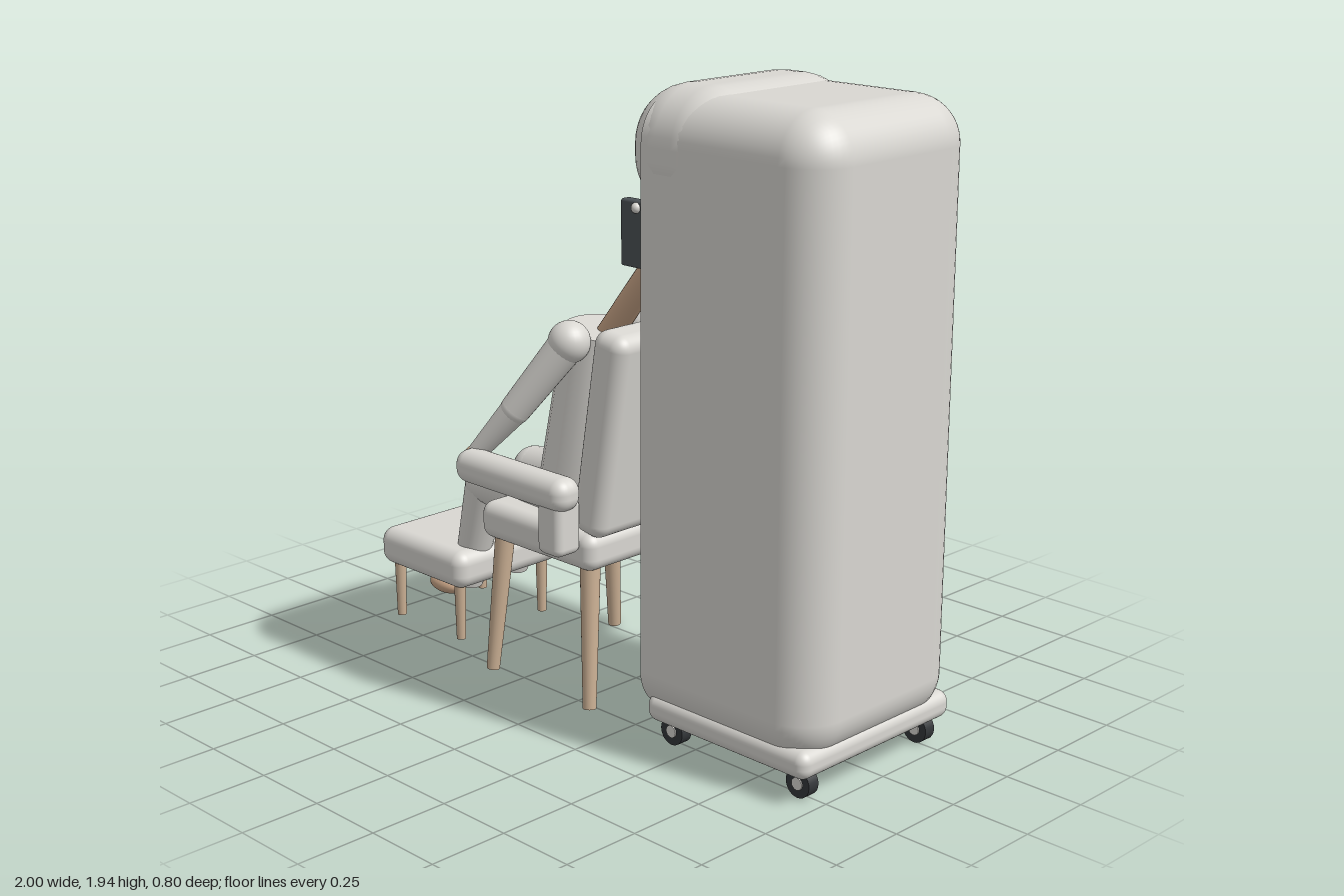
import * as THREE from 'three';
import { RoundedBoxGeometry } from 'three/addons/geometries/RoundedBoxGeometry.js';

const mat = (name, color, side = THREE.FrontSide) => {
  const m = new THREE.MeshStandardMaterial({ color, side });
  m.name = name;
  return m;
};

export function createModel() {
  const model = new THREE.Group();
  const white = mat('offWhite', 0xd9d7d2, THREE.DoubleSide);
  const wood = mat('wood', 0xcbb094);
  const skin = mat('skin', 0xc9a587);
  const brown = mat('hairBrown', 0x74513f, THREE.DoubleSide);
  const dark = mat('darkGrey', 0x4c5256, THREE.DoubleSide);
  const black = mat('wheelDark', 0x34373a);
  const blue = mat('bottleBlue', 0x5b9ccb);
  const V = (x, y, z) => new THREE.Vector3(x, y, z);

  const add = (name, geo, material, x = 0, y = 0, z = 0, parent = model) => {
    const m = new THREE.Mesh(geo, material);
    m.name = name;
    m.position.set(x, y, z);
    parent.add(m);
    return m;
  };
  // rounded box given by its extents
  const block = (name, x0, x1, y0, y1, z0, z1, r, material = white) =>
    add(name, new RoundedBoxGeometry(x1 - x0, y1 - y0, z1 - z0, 5, r), material,
      (x0 + x1) / 2, (y0 + y1) / 2, (z0 + z1) / 2);
  // tapered round bar from a to b
  const limb = (name, a, b, ra, rb, material) => {
    const m = add(name, new THREE.CylinderGeometry(rb, ra, a.distanceTo(b), 24), material);
    m.position.copy(a).lerp(b, 0.5);
    m.quaternion.setFromUnitVectors(V(0, 1, 0), b.clone().sub(a).normalize());
    return m;
  };
  const ball = (name, x, y, z, rx, material, ry = rx, rz = rx) => {
    const m = add(name, new THREE.SphereGeometry(1, 28, 18), material, x, y, z);
    m.scale.set(rx, ry, rz);
    return m;
  };

  // Cabinet shell: rounded box with the side towards the chair cut open
  const open = new RoundedBoxGeometry(0.78, 1.83, 0.68, 6, 0.14).translate(0.61, 1.005, 0);
  const p = open.attributes.position, n = open.attributes.normal;
  const keepP = [], keepN = [];
  for (let i = 0; i < p.count; i += 3) {
    if ((p.getX(i) + p.getX(i + 1) + p.getX(i + 2)) / 3 < 0.361) continue;
    for (let k = i; k < i + 3; k++) {
      keepP.push(p.getX(k), p.getY(k), p.getZ(k));
      keepN.push(n.getX(k), n.getY(k), n.getZ(k));
    }
  }
  const shell = new THREE.BufferGeometry();
  shell.setAttribute('position', new THREE.Float32BufferAttribute(keepP, 3));
  shell.setAttribute('normal', new THREE.Float32BufferAttribute(keepN, 3));
  add('cabinetShell', shell, white);
  block('cabinetHood', 0.245, 0.64, 1.57, 1.94, -0.343, 0.343, 0.165);
  block('cabinetBase', 0.365, 0.985, 0.075, 0.16, -0.33, 0.33, 0.035);

  // Dark lining and opening frame
  const panel = (name, w, h, d, x, y, z) => add(name, new THREE.BoxGeometry(w, h, d), dark, x, y, z);
  panel('liningBack', 0.01, 1.5, 0.62, 0.87, 0.96, 0);
  panel('liningFloor', 0.51, 0.01, 0.62, 0.62, 0.22, 0);
  panel('liningCeiling', 0.51, 0.01, 0.62, 0.62, 1.7, 0);
  for (const s of [-1, 1]) panel('liningSide', 0.51, 1.5, 0.01, 0.62, 0.96, s * 0.315);
  const rect = (P, z, y0, y1) => {
    const q = new P();
    q.moveTo(-z, y0).lineTo(z, y0).lineTo(z, y1).lineTo(-z, y1).closePath();
    return q;
  };
  const frame = rect(THREE.Shape, 0.328, 0.21, 1.72);
  frame.holes.push(rect(THREE.Path, 0.3, 0.24, 1.69));
  const frameMesh = add('openingFrame',
    new THREE.ExtrudeGeometry(frame, { depth: 0.018, bevelEnabled: false }), dark, 0.353, 0, 0);
  frameMesh.rotation.y = Math.PI / 2;

  // Casters
  for (const x of [0.43, 0.92]) for (const z of [-0.26, 0.26]) {
    const wheel = add('caster', new THREE.CylinderGeometry(0.043, 0.043, 0.04, 24), black, x, 0.043, z);
    wheel.rotation.x = Math.PI / 2;
    const hub = add('casterHub', new THREE.CylinderGeometry(0.019, 0.019, 0.048, 16), white, x, 0.043, z);
    hub.rotation.x = Math.PI / 2;
  }

  // Basin with drain
  const bowl = [[0.001, 0.78], [0.08, 0.785], [0.175, 0.875], [0.185, 0.89], [0.165, 0.885], [0.08, 0.81], [0.001, 0.8]];
  add('basin', new THREE.LatheGeometry(bowl.map(([r, y]) => new THREE.Vector2(r, y)), 32), white, 0.475, 0, 0);
  limb('drainPipe', V(0.48, 0.79, 0), V(0.48, 0.52, -0.2), 0.025, 0.025, dark);
  limb('basinBracket', V(0.48, 0.77, 0), V(0.86, 0.6, 0), 0.02, 0.02, dark);

  // Bottles on the cabinet floor
  [[-0.15, 0.17, blue], [-0.03, 0.24, dark], [0.1, 0.25, blue], [0.21, 0.2, dark]].forEach(([z, h, m]) => {
    add('bottle', new THREE.CylinderGeometry(0.04, 0.04, h, 20), m, 0.45, 0.225 + h / 2, z);
    add('bottleShoulder', new THREE.CylinderGeometry(0.016, 0.04, 0.03, 20), m, 0.45, 0.24 + h, z);
    add('bottleCap', new THREE.CylinderGeometry(0.016, 0.016, 0.035, 16), white, 0.45, 0.27 + h, z);
  });

  // Head equipment: side plates, ear pads, cradle rings, water hose
  for (const s of [-1, 1]) {
    block('sidePlate', 0.185, 0.36, 1.4, 1.595, s * 0.23 - 0.018, s * 0.23 + 0.018, 0.008, dark);
    ball('plateKnob', 0.25, 1.575, s * 0.247, 0.016, white);
    ball('earPad', 0.245, 1.5, s * 0.155, 0.075, white, 0.09, 0.055);
    limb('waterHose', V(0.295, 1.42, s * 0.13), V(0.325, 1.27, s * 0.1), 0.006, 0.006, blue);
  }
  for (const [r, z] of [[0.09, -0.065], [0.105, 0], [0.09, 0.065]]) {
    const ring = add('cradleRing', new THREE.TorusGeometry(r, 0.011, 10, 32, Math.PI * 1.25), white, 0.25, 1.305, z);
    ring.rotation.z = Math.PI * 0.8;
  }

  // Armchair
  block('seat', -0.41, 0.095, 0.44, 0.56, -0.29, 0.29, 0.04);
  block('backrest', 0.045, 0.175, 0.55, 1.2, -0.285, 0.285, 0.045).rotation.z = -0.165;
  for (const s of [-1, 1]) {
    const z = s * 0.345;
    block('armrest', -0.41, 0.08, 0.645, 0.75, z - 0.053, z + 0.053, 0.045);
    block('armSupport', -0.04, 0.06, 0.505, 0.68, s * 0.335 - 0.05, s * 0.335 + 0.05, 0.025);
    limb('chairLeg', V(-0.375, 0, s * 0.27), V(-0.35, 0.46, s * 0.23), 0.021, 0.032, wood);
    limb('chairLeg', V(0.07, 0, s * 0.27), V(0.035, 0.46, s * 0.23), 0.021, 0.032, wood);
  }

  // Footstool
  block('footstool', -1, -0.58, 0.185, 0.312, -0.23, 0.23, 0.045);
  for (const x of [-0.945, -0.637]) for (const s of [-1, 1])
    limb('stoolLeg', V(x, 0, s * 0.18), V(x, 0.2, s * 0.18), 0.015, 0.02, wood);

  // Seated figure: body, neck, head
  limb('torso', V(-0.178, 0.62, 0), V(-0.125, 1.115, 0), 0.178, 0.135, white);
  ball('pelvis', -0.16, 0.62, 0, 0.15, white, 0.09, 0.17);
  limb('neck', V(-0.13, 1.08, 0), V(0.08, 1.345, 0), 0.042, 0.04, skin);
  ball('head', 0.2, 1.5, 0, 0.128, skin, 0.138, 0.12);
  const cap = add('hairCap', new THREE.SphereGeometry(0.133, 32, 16, 0, Math.PI * 2, 0, 1.4), brown, 0.205, 1.515, 0);
  cap.rotation.z = -0.4;
  cap.scale.z = 0.93;
  for (const z of [-0.04, 0, 0.04])
    limb('hairStrand', V(0.31, 1.48, z), V(0.43, 0.89, z * 0.7), 0.032, 0.016, brown);

  // Arms, legs and feet
  for (const s of [-1, 1]) {
    const shoulder = V(-0.125, 1.1, s * 0.16), elbow = V(-0.265, 0.88, s * 0.255), wrist = V(-0.38, 0.73, s * 0.315);
    ball('shoulder', shoulder.x, shoulder.y, shoulder.z, 0.066, white);
    limb('upperArm', shoulder, elbow, 0.058, 0.048, white);
    ball('elbow', elbow.x, elbow.y, elbow.z, 0.048, white);
    limb('forearm', elbow, wrist, 0.046, 0.03, white);
    ball('hand', -0.388, 0.72, s * 0.32, 0.031, skin);
    const hip = V(-0.17, 0.565, s * 0.12), knee = V(-0.58, 0.54, s * 0.105), ankle = V(-0.69, 0.17, s * 0.1);
    limb('thigh', hip, knee, 0.088, 0.072, white);
    ball('knee', knee.x, knee.y, knee.z, 0.072, white);
    limb('shin', knee, ankle, 0.07, 0.05, white);
    ball('foot', -0.8, 0.128, s * 0.1, 0.075, skin, 0.03, 0.04);
  }
  return model;
}
